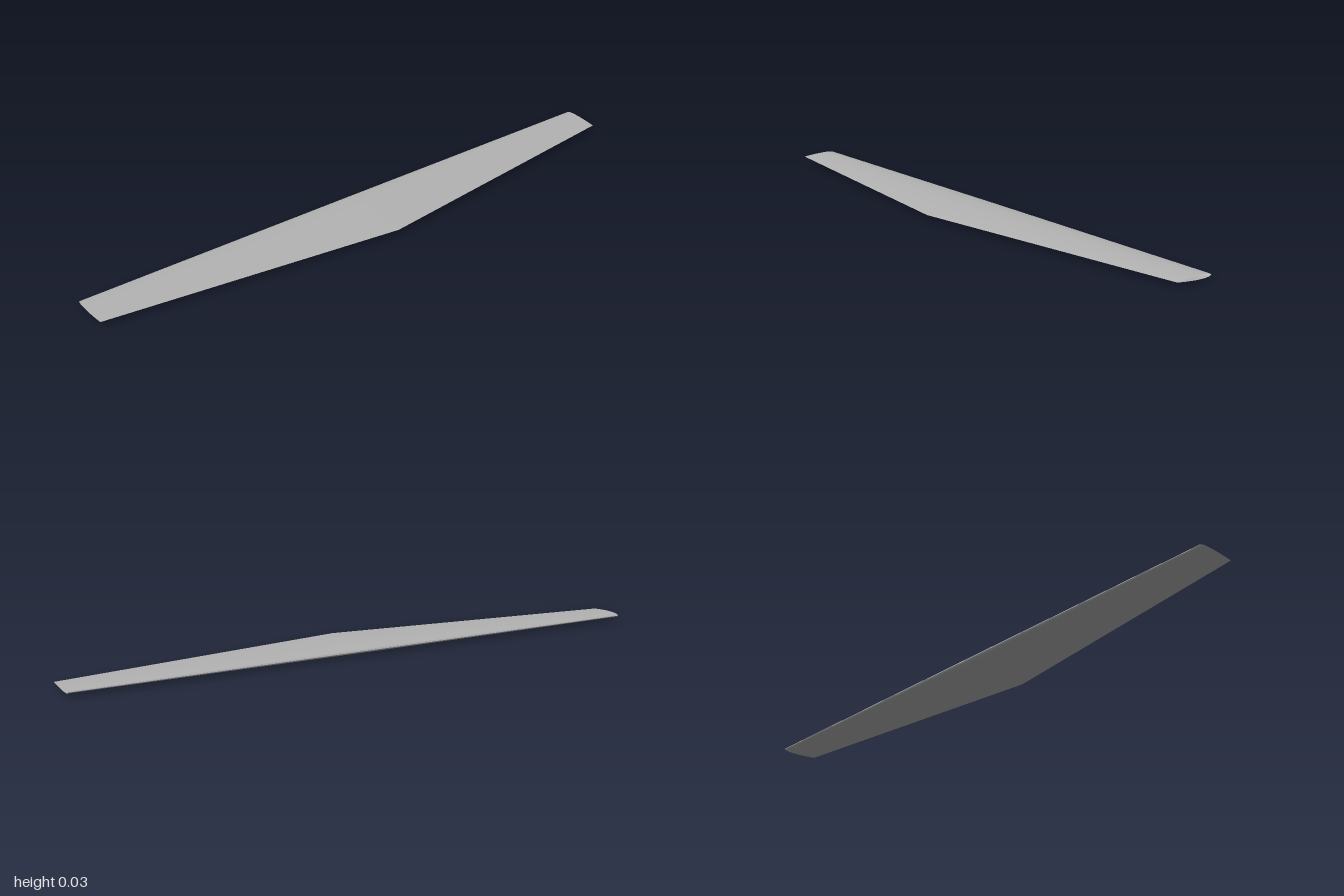
import * as THREE from 'three';

const CHORD = 0.262;      // root chord, the tips have half of it
const THICKNESS = 0.105;  // thickness as a share of the chord
const STEPS = 14;         // chordwise steps on each side

// Half thickness of a symmetric aerofoil at station s (0 nose, 1 tail)
const halfThickness = (s) => 5 * THICKNESS *
  (0.2969 * Math.sqrt(s) - 0.126 * s - 0.3516 * s ** 2 + 0.2843 * s ** 3 - 0.1036 * s ** 4);

// Section from the tail over the top to the nose and back underneath
function section() {
  const points = [];
  for (let i = 0; i <= 2 * STEPS; i++) {
    const s = (1 + Math.cos((i / STEPS) * Math.PI)) / 2;
    const side = i <= STEPS ? 1 : -1;
    points.push([s, side * halfThickness(s)]);
  }
  return points;
}

// Open-ended skin through sections scaled about the straight leading edge
function wingGeometry(stations) {
  const profile = section();
  const n = profile.length;
  const positions = [];
  const index = [];
  for (const [z, chord] of stations) {
    for (const [s, t] of profile) {
      positions.push(-CHORD / 2 + s * chord, CHORD * THICKNESS / 2 + t * chord, z);
    }
  }
  for (let k = 0; k < stations.length - 1; k++) {
    for (let i = 0; i < n - 1; i++) {
      const a = k * n + i, b = a + 1, c = b + n, d = a + n;
      index.push(a, b, c, a, c, d);
    }
  }
  const geometry = new THREE.BufferGeometry();
  geometry.setAttribute('position', new THREE.Float32BufferAttribute(positions, 3));
  geometry.setIndex(index);
  geometry.computeVertexNormals();
  return geometry;
}

export function createModel() {
  const group = new THREE.Group();
  group.name = 'wing';

  const grey = new THREE.MeshStandardMaterial({
    color: 0xb3b3b3, flatShading: true, side: THREE.DoubleSide,
  });
  grey.name = 'light grey';

  // Both tapered halves, joined at the root
  const skin = new THREE.Mesh(
    wingGeometry([[-1, CHORD / 2], [0, CHORD], [1, CHORD / 2]]), grey);
  skin.name = 'wingSkin';
  group.add(skin);
  return group;
}
